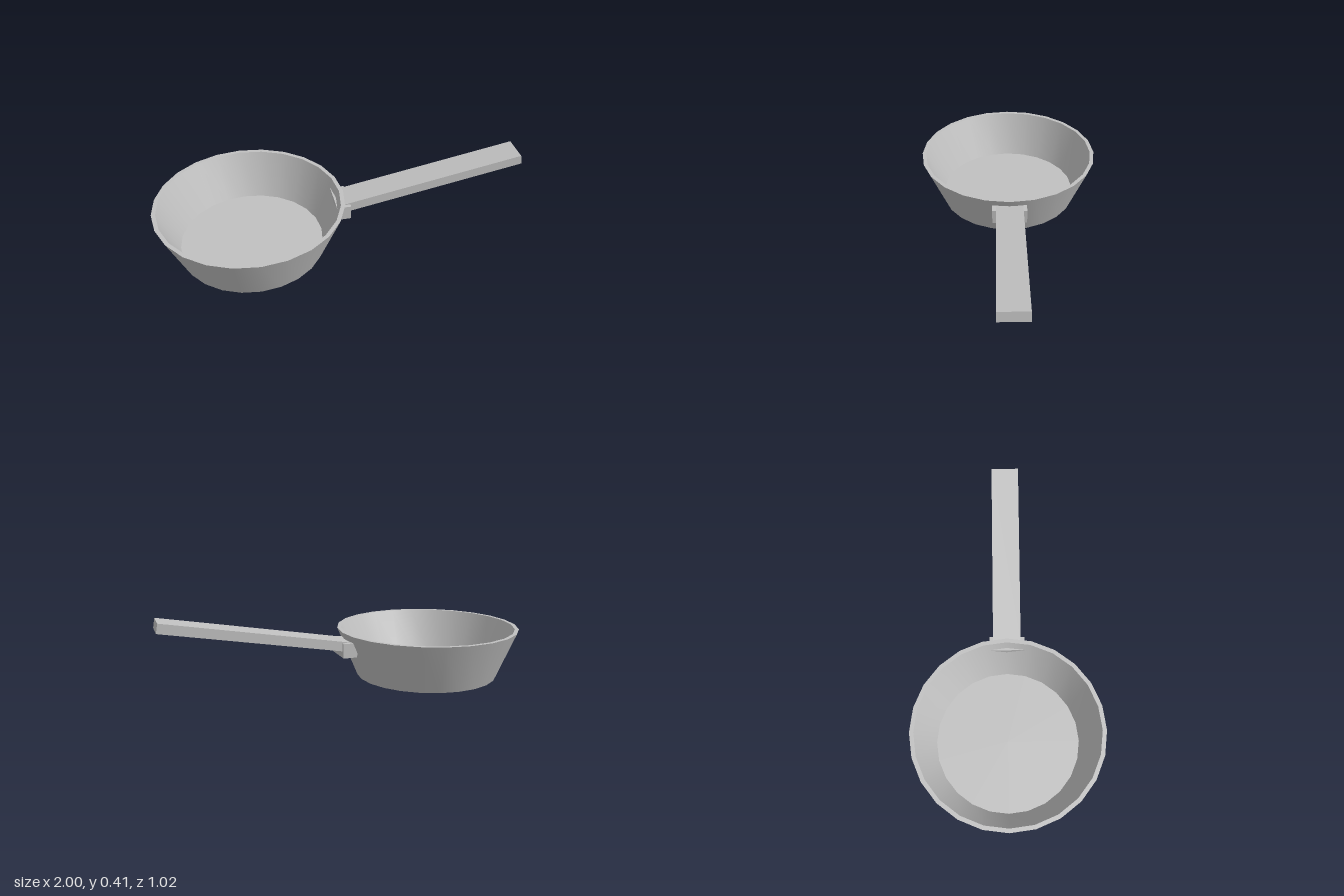
import * as THREE from 'three';
import { toCreasedNormals } from 'three/addons/utils/BufferGeometryUtils.js';

export function createModel() {
  const pan = new THREE.Group();
  pan.name = 'fryingPan';
  const metal = new THREE.MeshStandardMaterial({ color: 0xc0c0c0 });
  metal.name = 'grey metal';

  function addPart(name, geometry, x, y, z) {
    const mesh = new THREE.Mesh(geometry, metal);
    mesh.name = name;
    mesh.position.set(x, y, z);
    pan.add(mesh);
    return mesh;
  }

  // Flared bowl: base, outer wall, rim, inner wall and floor
  const profile = [
    [0, 0], [0.393, 0], [0.508, 0.274], [0.486, 0.274], [0.386, 0.03], [0, 0.03],
  ].map(([r, y]) => new THREE.Vector2(r, y));
  const bowl = toCreasedNormals(new THREE.LatheGeometry(profile, 24), 0.6);
  addPart('bowl', bowl, -0.492, 0, 0);

  // Bracket set into the wall
  addPart('handleBracket', new THREE.BoxGeometry(0.077, 0.079, 0.19), 0.002, 0.193, 0);

  // Flat handle rising away from the bowl
  const handle = addPart('handle', new THREE.BoxGeometry(1.008, 0.052, 0.15), 0.499, 0.296, 0);
  handle.rotation.z = THREE.MathUtils.degToRad(10);

  return pan;
}
